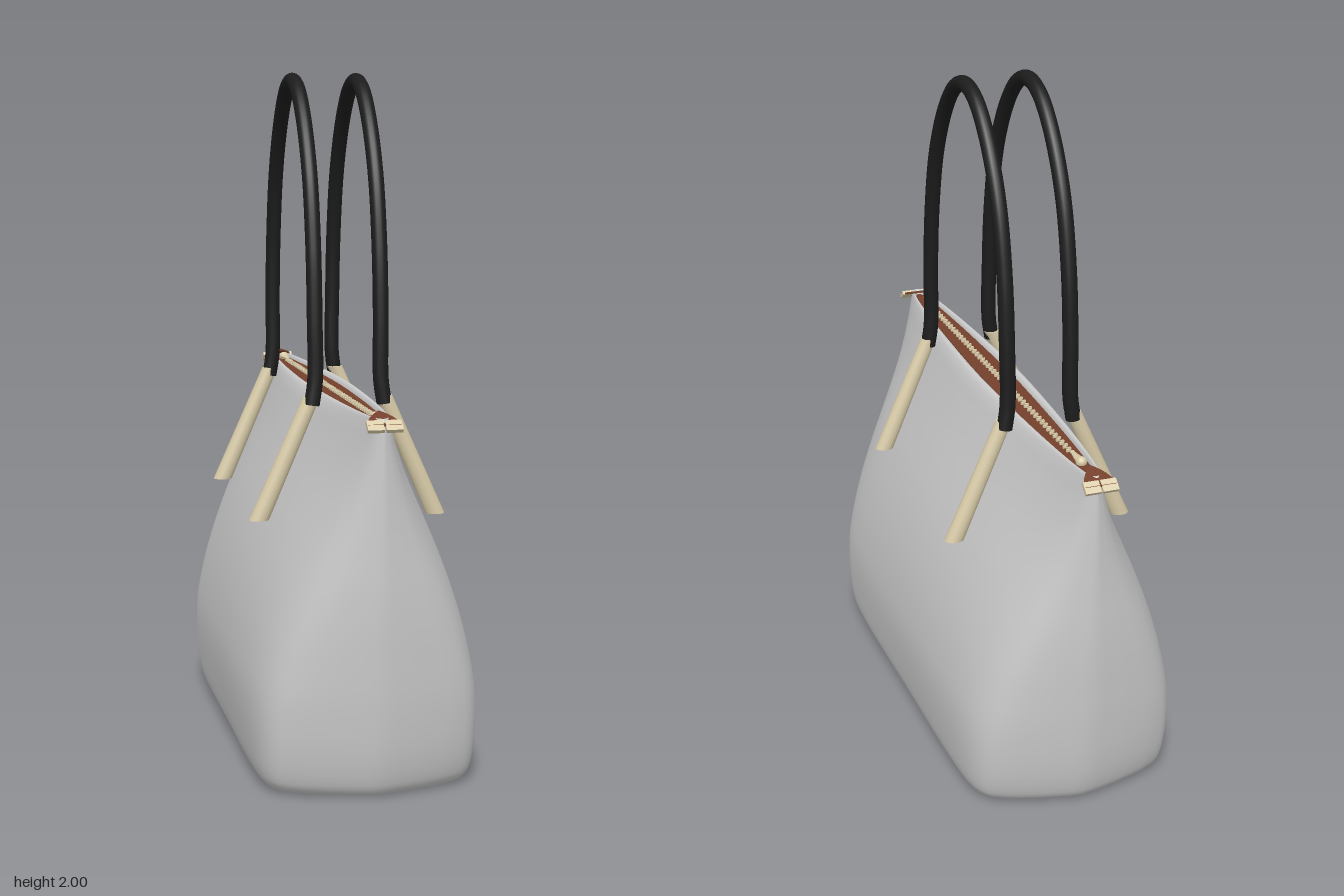
import * as THREE from 'three';
import { mergeGeometries } from 'three/addons/utils/BufferGeometryUtils.js';

const mat = (color, extra = {}) => new THREE.MeshStandardMaterial({ color, ...extra });
const grey = mat(0xcccccc, { side: THREE.DoubleSide });
const black = mat(0x1c1c1c);
const beige = mat(0xd8cba8);
const brown = mat(0x74402c, { side: THREE.DoubleSide });

function add(parent, name, geometry, material) {
  const mesh = new THREE.Mesh(geometry, material);
  mesh.name = name;
  parent.add(mesh);
  return mesh;
}

// Quarter outlines (x, z) in unit size: boxy at the base, lens-shaped at the mouth
const boxy = [[0, 1], [0.25, 0.982], [0.5, 0.955], [0.75, 0.918], [0.9, 0.875], [0.97, 0.8], [1, 0.6], [1, 0]];
const lens = [[0, 1], [0.1, 0.995], [0.2, 0.985], [0.3, 0.96], [0.45, 0.88], [0.65, 0.7], [0.85, 0.42], [1, 0]];

// Closed unit outline, t = 0 boxy to t = 1 lens, running +z, +x, -z, -x
function outline(t, steps = 96) {
  const quarter = boxy.map(([x, z], i) => [
    THREE.MathUtils.lerp(x, lens[i][0], t), THREE.MathUtils.lerp(z, lens[i][1], t)]);
  const pts = [
    ...quarter.slice(0, -1),
    ...quarter.slice(1).reverse().map(([x, z]) => [x, -z]),
    ...quarter.slice(0, -1).map(([x, z]) => [-x, -z]),
    ...quarter.slice(1).reverse().map(([x, z]) => [-x, z]),
  ].map(([x, z]) => new THREE.Vector3(x, 0, z));
  return new THREE.CatmullRomCurve3(pts, true).getPoints(steps).slice(0, steps);
}

// Bag skin lofted through rows of (height, half width, half length)
function bodyGeometry() {
  const rows = [
    [0.008, 0.245, 0.68], [0, 0.262, 0.7], [0.004, 0.278, 0.715], [0.015, 0.296, 0.73],
    [0.04, 0.311, 0.745], [0.12, 0.325, 0.767], [0.27, 0.335, 0.787], [0.4, 0.322, 0.797],
    [0.5, 0.302, 0.803], [0.6, 0.274, 0.806], [0.7, 0.238, 0.806], [0.8, 0.195, 0.806],
    [0.9, 0.15, 0.806], [1, 0.107, 0.805], [1.05, 0.085, 0.803], [1.072, 0.068, 0.797],
    [1.07, 0.056, 0.788], [1.05, 0.046, 0.775], [0.98, 0.042, 0.76],
  ].map((r) => new THREE.Vector3(...r));
  const profile = new THREE.CatmullRomCurve3(rows).getPoints((rows.length - 1) * 4);
  profile.unshift(new THREE.Vector3(0.008, 0, 0));
  const n = 96, pos = [], index = [];
  profile.forEach(({ x: y, y: w, z: l }, i) => {
    const t = THREE.MathUtils.clamp(y / 1.05, 0, 1);
    for (const p of outline(t ** 1.4, n)) pos.push(p.x * w, y, p.z * l + 0.008);
    if (i === 0) return;
    for (let j = 0; j < n; j++) {
      const k = (j + 1) % n, a = (i - 1) * n, b = i * n;
      index.push(a + j, a + k, b + j, a + k, b + k, b + j);
    }
  });
  const g = new THREE.BufferGeometry();
  g.setAttribute('position', new THREE.Float32BufferAttribute(pos, 3));
  g.setIndex(index);
  g.computeVertexNormals();
  return g;
}

// Sleeve with level ends, sheared outwards along the bag's side
function sleeveGeometry() {
  const g = new THREE.CylinderGeometry(0.025, 0.029, 0.355, 24, 4);
  const p = g.attributes.position;
  for (let i = 0; i < p.count; i++) {
    const down = 0.5 - p.getY(i) / 0.355;
    p.setX(i, p.getX(i) + 0.105 + 0.157 * down);
    p.setZ(i, p.getZ(i) * 0.84 - 0.006 * down);
    p.setY(i, p.getY(i) + 0.897);
  }
  g.computeVertexNormals();
  return g;
}

function makeHandle() {
  const handle = new THREE.Group();
  const half = [[0.352, 1.05], [0.35, 1.12], [0.345, 1.3], [0.325, 1.5], [0.275, 1.7], [0.185, 1.86], [0.09, 1.95]];
  const path = [...half, [0, 1.977], ...half.slice().reverse().map(([z, y]) => [-z, y])]
    .map(([z, y]) => new THREE.Vector3(y < 1.1 ? 0.107 : 0.097, y, z));
  add(handle, 'handleStrap', new THREE.TubeGeometry(new THREE.CatmullRomCurve3(path), 96, 0.023, 16), black);
  for (const s of [1, -1]) {
    const sleeve = add(handle, 'handleSleeve', sleeveGeometry(), beige);
    sleeve.position.z = s * 0.35;
    if (s < 0) sleeve.position.z += 0.006;
  }
  return handle;
}

function makeZipper() {
  const zipper = new THREE.Group();
  zipper.name = 'zipper';
  // Tape filling the mouth
  const tapeShape = new THREE.Shape(outline(1).map((p) => new THREE.Vector2(p.x * 0.047, p.z * 0.775)));
  const tape = new THREE.ExtrudeGeometry(tapeShape, { depth: 0.006, bevelEnabled: false });
  tape.rotateX(-Math.PI / 2).translate(0, 1.056, 0.008);
  add(zipper, 'zipperTape', tape, brown);
  // Interlocking teeth
  const teeth = [];
  for (let i = 0; i < 100; i++) {
    teeth.push(new THREE.BoxGeometry(0.011, 0.008, 0.007)
      .translate(i % 2 ? 0.004 : -0.004, 1.065, -0.6 + i * 0.0128));
  }
  add(zipper, 'zipperTeeth', mergeGeometries(teeth), beige);
  // Slider, pull and end stop
  const slider = add(zipper, 'zipperSlider', new THREE.SphereGeometry(0.016, 16, 12), beige);
  slider.position.set(0, 1.068, -0.675);
  const pull = add(zipper, 'zipperPull', new THREE.CylinderGeometry(0.005, 0.015, 0.065, 12), beige);
  pull.rotation.x = Math.PI / 2;
  pull.scale.z = 0.5;
  pull.position.set(0, 1.07, -0.635);
  const stop = add(zipper, 'zipperStop', new THREE.SphereGeometry(0.011, 12, 8), beige);
  stop.position.set(0, 1.066, 0.688);
  return zipper;
}

// Folded leather end with a metal clamp
function makeEndTab() {
  const tab = new THREE.Group();
  tab.name = 'endTab';
  const fan = new THREE.Shape();
  fan.moveTo(-0.045, 0);
  fan.quadraticCurveTo(-0.042, 0.045, 0, 0.08);
  fan.quadraticCurveTo(0.042, 0.045, 0.045, 0);
  const leather = new THREE.ExtrudeGeometry(fan, { depth: 0.007, bevelEnabled: false, curveSegments: 10 });
  leather.rotateX(-Math.PI / 2).rotateX(0.35).translate(0, 1.053, 0.815);
  add(tab, 'endLeather', leather, brown);
  for (const s of [1, -1]) {
    const clamp = add(tab, 'endClamp', new THREE.BoxGeometry(0.046, 0.012, 0.036), beige);
    clamp.position.set(s * 0.0255, 1.054, 0.814);
    clamp.rotation.x = 0.7;
  }
  return tab;
}

export function createModel() {
  const bag = new THREE.Group();
  bag.name = 'handbag';
  add(bag, 'body', bodyGeometry(), grey);
  bag.add(makeZipper());
  for (const turn of [0, Math.PI]) {
    const handle = makeHandle();
    handle.name = turn ? 'rightHandle' : 'leftHandle';
    handle.rotation.y = turn;
    bag.add(handle);
    const tab = makeEndTab();
    tab.rotation.y = turn;
    bag.add(tab);
  }
  return bag;
}
